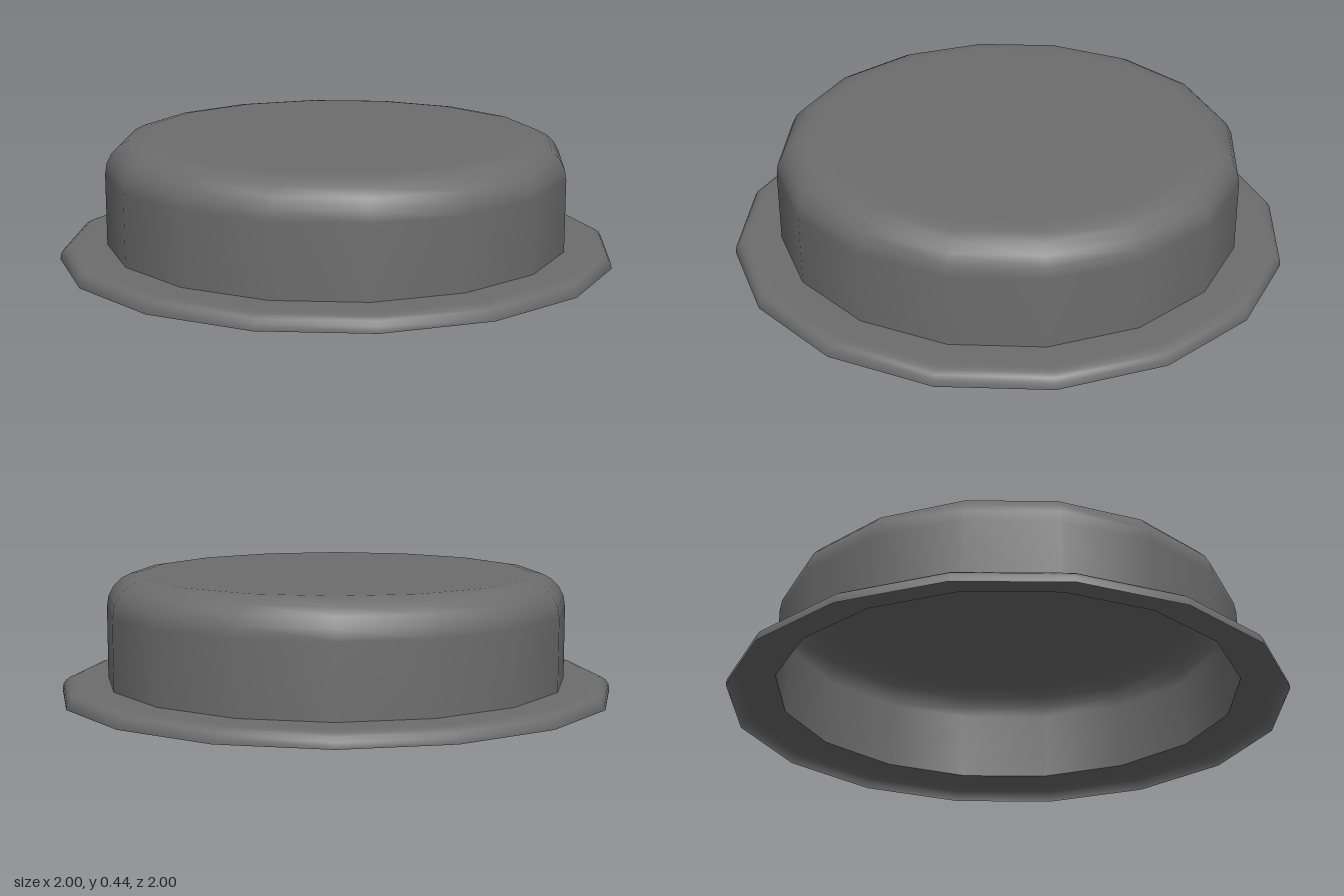
import * as THREE from 'three';

const SIDES = 16;
const WALL = 0.832, HEIGHT = 0.435, LIP = 0.05;

// Quarter-round from vertical (outside) to horizontal (top)
function quarterRound(radius, height, r, steps) {
  return Array.from({ length: steps + 1 }, (_, i) => {
    const a = (i / steps) * Math.PI / 2;
    return [radius - r + r * Math.cos(a), height - r + r * Math.sin(a)];
  });
}

export function createModel() {
  const group = new THREE.Group();
  const material = new THREE.MeshStandardMaterial({ color: 0x6d6d6d, side: THREE.DoubleSide });

  const addLathe = (name, profile) => {
    const points = profile.map(([x, y]) => new THREE.Vector2(x, y));
    const mesh = new THREE.Mesh(new THREE.LatheGeometry(points, SIDES), material);
    mesh.name = name;
    group.add(mesh);
  };

  // Hollow cap: straight wall, rounded shoulder, flat top
  addLathe('cap', [[WALL, LIP], ...quarterRound(WALL, HEIGHT, 0.128, 5), [0.67, HEIGHT], [0, HEIGHT]]);

  // Thin flange sheet whose rim curls down to the ground, open below
  addLathe('flange', [[1, 0], ...quarterRound(1, LIP, 0.045, 4), [0.93, LIP], [WALL, LIP]]);

  return group;
}
